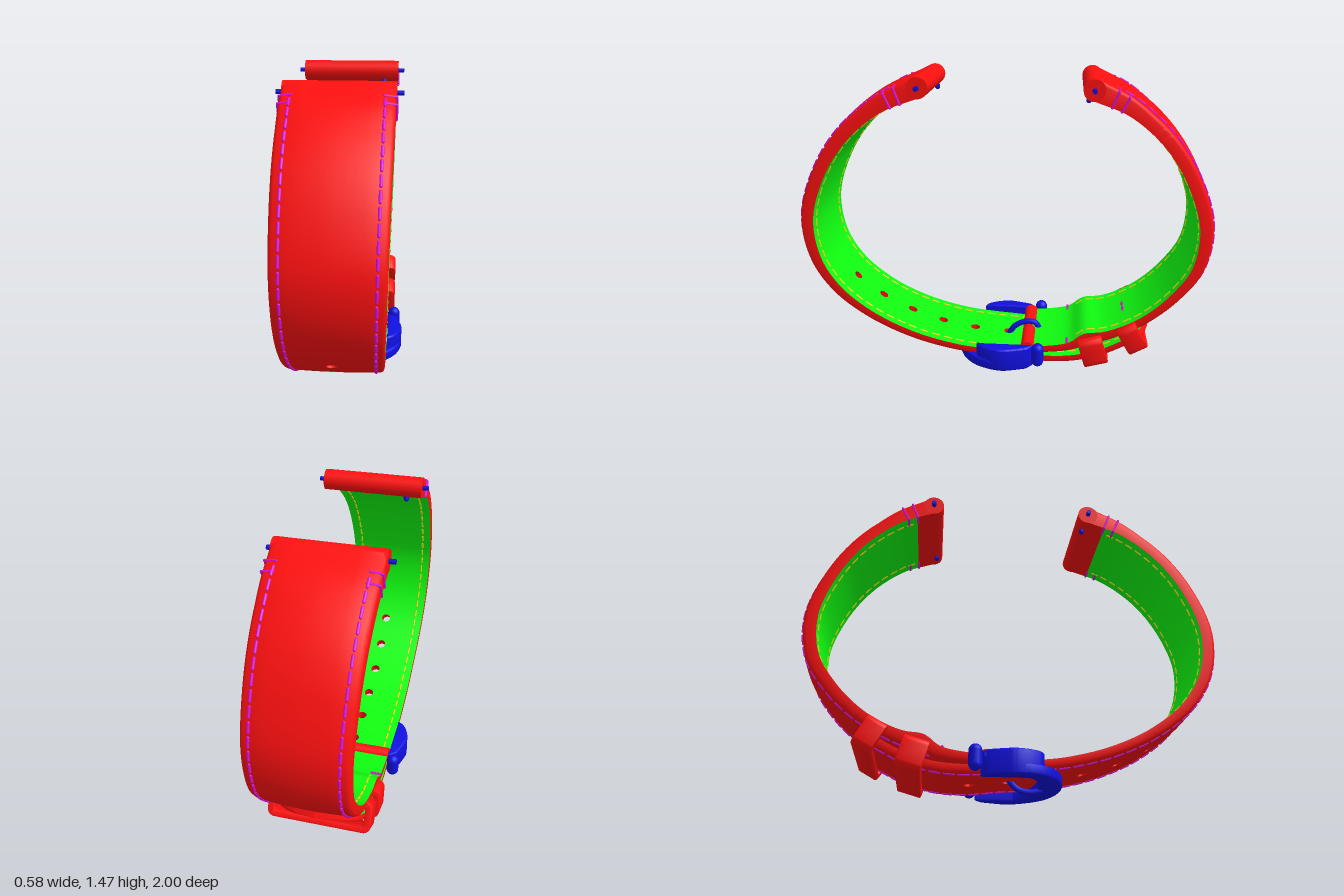
import * as THREE from 'three';
import { mergeGeometries, toCreasedNormals } from 'three/addons/utils/BufferGeometryUtils.js';

const mat = (color) => new THREE.MeshStandardMaterial({ color, side: THREE.DoubleSide });
const V = (x, y, z) => new THREE.Vector3(x, y, z);

export function createModel() {
  const model = new THREE.Group();
  const red = mat(0xff1010), green = mat(0x10ff10), blue = mat(0x1010e0);
  const magenta = mat(0xe010e0), yellow = mat(0xe0e010);

  function add(name, geometry, material, parent = model) {
    const mesh = new THREE.Mesh(geometry, material);
    mesh.name = name;
    parent.add(mesh);
    return mesh;
  }

  // Quad grid from a point rule; skip() leaves cells open
  function grid(rows, cols, point, flip, skip = () => false) {
    const pos = [], idx = [];
    for (let i = 0; i < rows; i++) for (let j = 0; j < cols; j++) pos.push(...point(i, j).toArray());
    for (let i = 0; i < rows - 1; i++) for (let j = 0; j < cols - 1; j++) {
      if (skip(i, j)) continue;
      const a = i * cols + j, b = a + cols, c = b + 1, d = a + 1;
      if (flip) idx.push(a, d, b, b, d, c); else idx.push(a, b, d, b, c, d);
    }
    const g = new THREE.BufferGeometry();
    g.setAttribute('position', new THREE.Float32BufferAttribute(pos, 3));
    g.setIndex(idx);
    g.computeVertexNormals();
    return g;
  }

  // Capsule between two points, used for every stitch
  function stitch(a, b, r = 0.007) {
    const dir = b.clone().sub(a), len = dir.length();
    const g = new THREE.CapsuleGeometry(r, len, 2, 6);
    g.applyQuaternion(new THREE.Quaternion().setFromUnitVectors(V(0, 1, 0), dir.normalize()));
    const m = a.clone().add(b).multiplyScalar(0.5);
    return g.translate(m.x, m.y, m.z);
  }

  function cylinderX(r, len, x, y, z, seg = 24) {
    return new THREE.CylinderGeometry(r, r, len, seg).rotateZ(Math.PI / 2).translate(x, y, z);
  }

  // Strap swept along its outer line; each profile point is [z, y, thickness]
  function strap(name, profile, dir, lugZ, holeSteps, tipLen) {
    const group = new THREE.Group();
    group.name = name;
    model.add(group);
    const curve = new THREE.CatmullRomCurve3(profile.map(([z, y, t]) => V(t, y, z)), false, 'centripetal');
    curve.arcLengthDivisions = 600;
    const L = curve.getLength(), N = Math.round(L / 0.01125), ds = L / N, step = 0.01125;
    const halfWidth = (s) => 0.245 - 0.03 * Math.min(1, s / 1.7);
    // depth: 0 = outer face, 1 = lining; drop lowers the point towards the lining
    function at(s, x, depth, drop = 0) {
      const u = Math.min(1, Math.max(0, s / L));
      const p = curve.getPointAt(u), t = curve.getTangentAt(u);
      const l = Math.hypot(t.y, t.z), nz = -dir * t.y / l, ny = dir * t.z / l, th = p.x;
      const dome = 0.02 * Math.min(1, s / 0.3) * Math.max(0, (th - 0.03) / 0.05) * (x / 0.24) ** 2;
      const d = depth ? th * depth : drop + dome;
      return V(x, p.y - ny * d, p.z - nz * d);
    }
    const tip = (s) => {
      const k = tipLen ? Math.max(0, (s - L + tipLen) / tipLen) : 0;
      return Math.max(0.06, Math.sqrt(Math.max(0, 1 - k ** 2.6)));
    };
    // Holes are spaced from the row that meets the buckle tongue
    let i0 = 0, best = 9;
    for (let i = N >> 1; i <= N; i++) {
      const d = Math.abs(curve.getPointAt(i / N).z + 0.01);
      if (d < best) { best = d; i0 = i; }
    }
    const holes = holeSteps.map((k) => i0 + 16 * k);
    const inside = (s) => [0, step, 2 * step, 0.06, 0.1, 0.14, halfWidth(s) - 0.016];
    // Grid vertices around a hole move onto a circle
    function place(i, c, x, depth, drop) {
      const s = i * ds, h = holes.find((r) => Math.abs(i - r) <= 2);
      if (h !== undefined && Math.max(Math.abs(i - h), Math.abs(c)) === 2) {
        const k = 0.025 / Math.hypot(c, i - h);
        return at(h * ds + (i - h) * k, c * k, depth, drop);
      }
      return at(s, x * tip(s), depth, drop);
    }
    const open = (mid) => (i, j) => j >= mid - 2 && j < mid + 2 && holes.some((h) => i >= h - 2 && i < h + 2);

    // Outer leather with rounded shoulders and edges
    const outer = (i, j) => {
      const c = j - 9, a = Math.abs(c), hw = halfWidth(i * ds), sg = Math.sign(c);
      if (a === 9) return place(i, c, sg * hw, 1);
      const x = [...inside(i * ds), hw - 0.005, hw][a];
      return place(i, c, sg * x, 0, [0, 0, 0, 0, 0, 0, 0, 0.004, 0.014][a]);
    };
    add('outerLeather', toCreasedNormals(grid(N + 1, 19, outer, dir < 0, open(9)), 0.9), red, group);

    // Lining, with a leather fold next to the lug
    const fold = 9;
    const inner = (from) => (i, j) => {
      const c = j - 7, hw = halfWidth((i + from) * ds);
      return place(i + from, c, Math.sign(c) * [...inside((i + from) * ds), hw][Math.abs(c)], 1);
    };
    add('lining', grid(N + 1 - fold, 15, inner(fold), dir > 0, (i, j) => open(7)(i + fold, j)), green, group);
    add('lugFold', grid(fold + 1, 15, inner(0), dir > 0), red, group);
    for (const h of holes) {
      const wall = (i, j) => {
        const a = j / 16 * Math.PI * 2;
        return at(h * ds + 0.025 * Math.sin(a), 0.025 * Math.cos(a), i);
      };
      add('holeWall', grid(2, 17, wall, false), red, group);
    }

    // Lug end, spring bar and release lever
    add('lugEnd', cylinderX(0.05, 0.49, 0, 1.42, lugZ), red, group);
    add('springBar', cylinderX(0.011, 0.55, 0, 1.42, lugZ, 12), blue, group);
    add('releaseLever', stitch(V(-dir * 0.17, 1.4, lugZ - dir * 0.01), V(-dir * 0.17, 1.365, lugZ - dir * 0.022), 0.014), blue, group);

    // Running stitches on both faces and wrapped stitches by the lug
    const top = [], under = [], wrap = [];
    for (const sg of [-1, 1]) {
      for (let s = 0.13; s < L - (tipLen ? 0.16 : 0.24); s += 0.065) {
        const x = sg * (halfWidth(s) - 0.046 + 0.01 * Math.min(1, s / 1.7));
        top.push(stitch(at(s, x, 0), at(s + 0.043, x, 0)));
        under.push(stitch(at(s, x * 0.97, 1), at(s + 0.038, x * 0.97, 1), 0.005));
      }
      for (const s of [0.1, 0.155]) {
        const hw = halfWidth(s);
        const p = [at(s, sg * (hw - 0.05), 0), at(s, sg * (hw + 0.002), 0, 0.004),
          at(s, sg * (hw + 0.002), 1), at(s, sg * (hw - 0.05), 1)];
        for (let k = 0; k < 3; k++) wrap.push(stitch(p[k], p[k + 1], 0.006));
      }
    }
    add('outerStitching', mergeGeometries(top), magenta, group);
    add('liningStitching', mergeGeometries(under), yellow, group);
    add('wrapStitching', mergeGeometries(wrap), magenta, group);
  }

  strap('longStrap', [
    [0.405, 1.466, 0.095], [0.595, 1.385, 0.088], [0.78, 1.235, 0.083], [0.915, 1.04, 0.08], [1.0, 0.79, 0.08],
    [0.97, 0.56, 0.072], [0.86, 0.385, 0.06], [0.675, 0.24, 0.05], [0.46, 0.14, 0.045], [0.25, 0.085, 0.042],
    [0.1, 0.067, 0.04], [-0.05, 0.055, 0.04], [-0.2, 0.04, 0.04], [-0.36, 0.05, 0.04], [-0.5, 0.09, 0.04],
    [-0.62, 0.15, 0.04], [-0.735, 0.215, 0.035]], 1, 0.385, [-5, -4, -3, -2, -1, 0, 1], 0.14);

  strap('shortStrap', [
    [-0.43, 1.466, 0.095], [-0.61, 1.385, 0.088], [-0.785, 1.235, 0.083], [-0.915, 1.04, 0.08], [-1.0, 0.79, 0.08],
    [-0.97, 0.56, 0.072], [-0.86, 0.4, 0.062], [-0.72, 0.275, 0.055], [-0.6, 0.205, 0.055], [-0.52, 0.165, 0.065],
    [-0.43, 0.13, 0.085], [-0.34, 0.105, 0.055], [-0.22, 0.09, 0.045], [-0.13, 0.09, 0.04]], -1, -0.41, [], 0);

  // End of the short strap looped round the buckle pin, split for the tongue
  for (const sg of [-1, 1]) {
    add('pinLoop', cylinderX(0.034, 0.195, sg * 0.1175, 0.118, -0.122), red);
    add('loopStitch', stitch(V(sg * 0.17, 0.158, -0.32), V(sg * 0.21, 0.158, -0.32)), magenta);
  }

  // Keepers: rounded rectangular rings
  function roundedRect(path, w, h, r) {
    path.moveTo(-w + r, -h);
    path.lineTo(w - r, -h).absarc(w - r, -h + r, r, -Math.PI / 2, 0);
    path.lineTo(w, h - r).absarc(w - r, h - r, r, 0, Math.PI / 2);
    path.lineTo(-w + r, h).absarc(-w + r, h - r, r, Math.PI / 2, Math.PI);
    path.lineTo(-w, -h + r).absarc(-w + r, -h + r, r, Math.PI, Math.PI * 1.5);
    return path;
  }
  function keeper(name, y, z, tilt, depth) {
    const shape = roundedRect(new THREE.Shape(), 0.245, 0.07, 0.03);
    shape.holes.push(roundedRect(new THREE.Path(), 0.222, 0.05, 0.02));
    const g = new THREE.ExtrudeGeometry(shape, {
      depth: depth - 0.012, bevelThickness: 0.006, bevelSize: 0.006, bevelSegments: 2, curveSegments: 6 });
    const mesh = add(name, toCreasedNormals(g.translate(0, 0, 0.006 - depth / 2), 0.7), red);
    mesh.position.set(0, y, z);
    mesh.rotation.x = tilt;
    return mesh;
  }
  keeper('fixedKeeper', 0.118, -0.45, 0.28, 0.12);
  const free = keeper('freeKeeper', 0.2, -0.64, 0.52, 0.1);
  for (const sg of [-1, 1]) add('keeperStitch', stitch(V(sg * 0.012, 0.076, 0), V(sg * 0.045, 0.076, 0)), magenta, free);

  // Buckle parts drawn from above (x, z) and raised between y0 and y1
  function raised(shape, y0, y1) {
    const b = 0.01;
    const g = new THREE.ExtrudeGeometry(shape, {
      depth: y1 - y0 - 2 * b, bevelThickness: b, bevelSize: b, bevelOffset: -b, bevelSegments: 3, curveSegments: 10 });
    return toCreasedNormals(g.rotateX(Math.PI / 2).translate(0, y1 - b, 0), 0.8);
  }
  const buckle = new THREE.Group();
  buckle.name = 'buckle';
  model.add(buckle);
  for (const sg of [-1, 1]) {
    const side = new THREE.Shape();
    side.moveTo(sg * 0.218, 0.135);
    side.splineThru([[0.25, 0.115], [0.28, 0.06], [0.291, 0], [0.278, -0.06], [0.258, -0.12]]
      .map(([x, z]) => new THREE.Vector2(sg * x, z)));
    side.lineTo(sg * 0.218, -0.15);
    add('buckleSide', raised(side, 0.022, 0.14), blue, buckle);
    add('buckleHorn', new THREE.CapsuleGeometry(0.031, 0.06, 6, 16).translate(sg * 0.249, 0.102, -0.175), blue, buckle);
  }
  const bar = new THREE.Shape();
  bar.moveTo(-0.288, 0.03);
  bar.bezierCurveTo(-0.27, 0.17, -0.15, 0.24, 0, 0.243);
  bar.bezierCurveTo(0.15, 0.24, 0.27, 0.17, 0.288, 0.03);
  bar.lineTo(0.22, 0.03);
  bar.bezierCurveTo(0.21, 0.1, 0.12, 0.13, 0, 0.13);
  bar.bezierCurveTo(-0.12, 0.13, -0.21, 0.1, -0.22, 0.03);
  add('buckleFrontBar', raised(bar, 0.024, 0.076), blue, buckle);
  add('bucklePin', cylinderX(0.014, 0.5, 0, 0.118, -0.122, 16), blue, buckle);

  // Tongue rising over the pin and down through the strap
  const path = new THREE.CatmullRomCurve3([V(0, 0.125, -0.172), V(0, 0.155, -0.15), V(0, 0.158, -0.1),
    V(0, 0.13, -0.045), V(0, 0.08, -0.01), V(0, 0.03, 0.035), V(0, 0.015, 0.09), V(0, 0.022, 0.14)]);
  add('tongue', new THREE.TubeGeometry(path, 32, 0.0145, 10), blue, buckle);
  for (const p of [path.getPoint(0), path.getPoint(1)])
    add('tongueEnd', new THREE.SphereGeometry(0.0145, 10, 8).translate(p.x, p.y, p.z), blue, buckle);

  return model;
}
